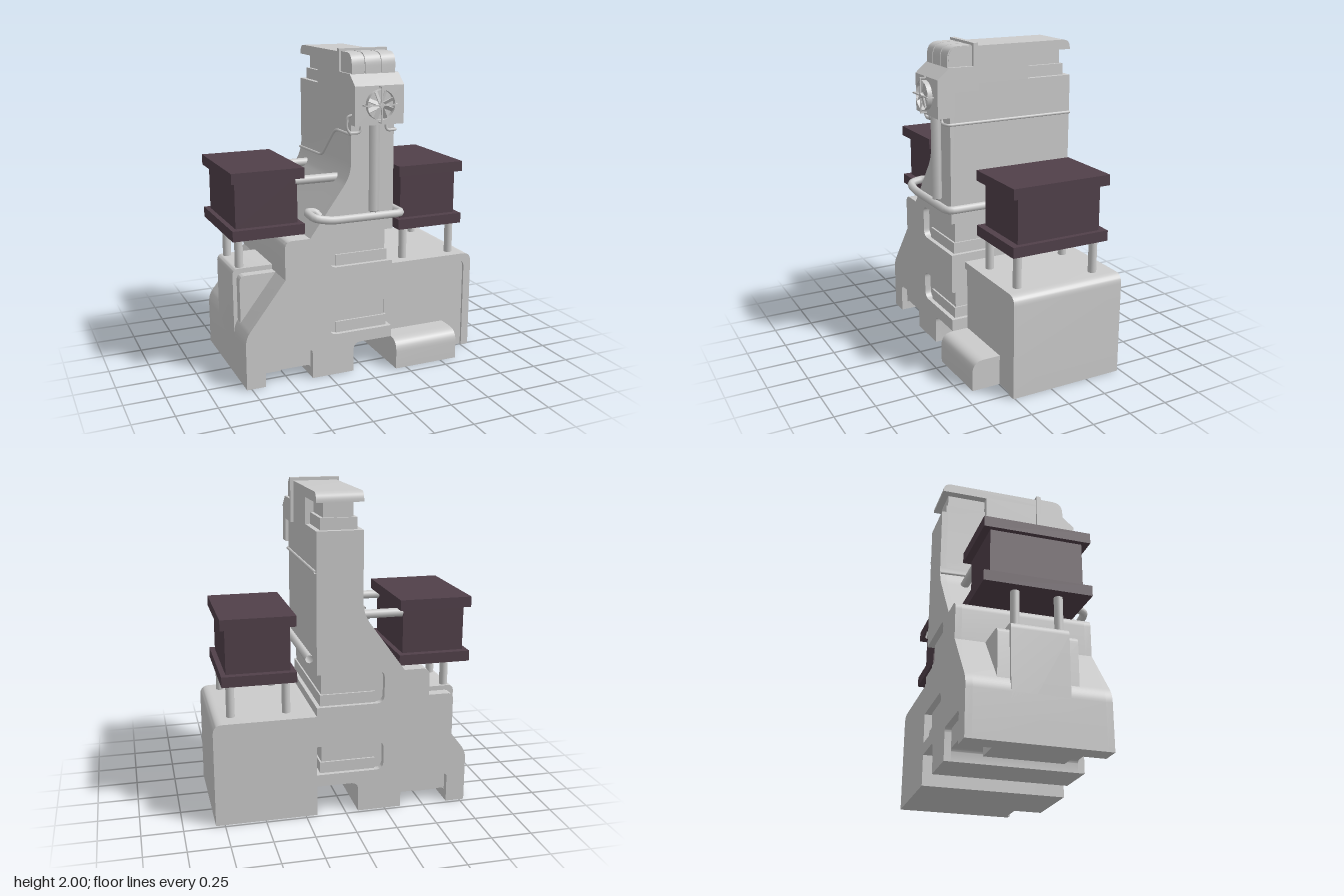
import * as THREE from 'three';
import { toCreasedNormals } from 'three/addons/utils/BufferGeometryUtils.js';

const grey = new THREE.MeshStandardMaterial({ color: 0xcccccc });
const greyOpen = new THREE.MeshStandardMaterial({ color: 0xcccccc, side: THREE.DoubleSide });
const dark = new THREE.MeshStandardMaterial({ color: 0x51404a });

// Closed outline from [x, y, cornerRadius] points
function outline(points) {
  const shape = new THREE.Shape();
  const n = points.length;
  points.forEach(([x, y, r = 0], i) => {
    const p = new THREE.Vector2(x, y);
    const toward = (q) => new THREE.Vector2(q[0], q[1]).sub(p).normalize().multiplyScalar(r).add(p);
    const a = toward(points[(i + n - 1) % n]);
    const b = toward(points[(i + 1) % n]);
    if (i === 0) shape.moveTo(a.x, a.y);
    else shape.lineTo(a.x, a.y);
    if (r > 0) shape.quadraticCurveTo(x, y, b.x, b.y);
  });
  return shape;
}

export function createModel() {
  const model = new THREE.Group();

  const add = (name, geometry, material = grey, parent = model) => {
    const mesh = new THREE.Mesh(geometry, material);
    mesh.name = name;
    parent.add(mesh);
    return mesh;
  };
  const box = (name, x0, x1, y0, y1, z0, z1, material, parent) =>
    add(name, new THREE.BoxGeometry(x1 - x0, y1 - y0, z1 - z0)
      .translate((x0 + x1) / 2, (y0 + y1) / 2, (z0 + z1) / 2), material, parent);
  const extrude = (points, depth) => toCreasedNormals(
    new THREE.ExtrudeGeometry(outline(points), { depth, bevelEnabled: false, curveSegments: 8 }), 0.6);
  // Front outline (x, y) running from z0 to z1
  const slab = (name, points, z0, z1) => add(name, extrude(points, z1 - z0).translate(0, 0, z0));
  // Side outline (z, y) running from x0 to x1
  const sideSlab = (name, points, x0, x1) =>
    add(name, extrude(points, x1 - x0).rotateY(-Math.PI / 2).translate(x1, 0, 0));
  const pipe = (name, points, radius) => {
    const path = new THREE.CurvePath();
    const v = points.map((p) => new THREE.Vector3(...p));
    let from = v[0];
    for (let i = 1; i < v.length - 1; i++) {
      const r = Math.min(0.05, v[i].distanceTo(v[i - 1]) * 0.45, v[i].distanceTo(v[i + 1]) * 0.45);
      const a = v[i - 1].clone().sub(v[i]).setLength(r).add(v[i]);
      const b = v[i + 1].clone().sub(v[i]).setLength(r).add(v[i]);
      path.add(new THREE.LineCurve3(from, a));
      path.add(new THREE.QuadraticBezierCurve3(a, v[i], b));
      from = b;
    }
    path.add(new THREE.LineCurve3(from, v[v.length - 1]));
    add(name, new THREE.TubeGeometry(path, 90, radius, 8), greyOpen);
  };

  // Main body: a core between two skins, whose slots open on the right-hand edge
  const bodyOutline = (notchTop, slot) => [
    [-0.78, 0], [-0.66, 0], [-0.66, notchTop, 0.025], [-0.355, notchTop, 0.025], [-0.355, 0],
    [-0.08, 0], [-0.08, 0.19, 0.05], [0.18, 0.19],
    ...slot(0.265, 0.335, 0.45), ...slot(0.7, 0.77, 0.905),
    [0.18, 1.76], [-0.1, 1.76], [-0.1, 1.265, 0.08], [-0.365, 0.9],
    [-0.525, 0.9, 0.05], [-0.525, 0.66], [-0.78, 0.33, 0.05],
  ];
  const stepSlot = (y0, y1, y2) => [
    [0.18, y0], [0.155, y0], [0.155, y1], [0.145, y1], [0.145, y2], [0.18, y2]];
  const pocketSlot = (y0, y1, y2) => [
    [0.18, y0], [-0.24, y0, 0.05], [-0.24, y2, 0.05], [0.18, y2]];
  slab('bodyCore', bodyOutline(0.075, stepSlot), -0.44, 0.31);
  slab('bodyFrontSkin', bodyOutline(0.19, pocketSlot), 0.31, 0.35);
  slab('bodyBackSkin', bodyOutline(0.19, pocketSlot), -0.48, -0.44);
  for (const [y0, y1] of [[0.265, 0.335], [0.7, 0.77]]) {
    box('frontSlotLedge', -0.19, 0.155, y0, y1, 0.305, 0.322);
    box('backSlotLedge', -0.19, 0.155, y0, y1, -0.452, -0.435);
  }

  // Side block on the sloped flank
  slab('sideBlockInner', [[-0.755, 0], [-0.5, 0], [-0.5, 0.66], [-0.755, 0.66, 0.04]], -0.3, 0.17);
  slab('sideBlockOuter', [[-0.78, 0], [-0.5, 0], [-0.5, 0.69], [-0.78, 0.69, 0.04]], -0.23, 0.11);

  // Large side box with a raised front rim, and its front step
  slab('sideBox', [[0.18, 0], [0.805, 0], [0.805, 0.645, 0.06], [0.18, 0.645]], -0.48, 0.245);
  slab('sideBoxRim', [[0.755, 0], [0.805, 0], [0.805, 0.645, 0.06], [0.18, 0.645],
    [0.18, 0.6], [0.755, 0.6, 0.05]], 0.245, 0.26);
  sideSlab('frontStep', [[0.24, 0], [0.43, 0], [0.43, 0.19, 0.08], [0.24, 0.19]], 0.18, 0.61);

  // Head: hooded top, stepped rear neck, collar, front housing
  sideSlab('headHood', [[-0.18, 1.75], [0.355, 1.75], [0.355, 1.98, 0.07], [-0.475, 1.98, 0.055],
    [-0.475, 1.92], [-0.18, 1.92]], -0.1, 0.18);
  box('rearNeckUpper', -0.05, 0.13, 1.82, 1.925, -0.43, -0.17);
  box('rearNeckLower', -0.07, 0.15, 1.755, 1.83, -0.445, -0.17);
  box('collar', -0.115, 0.2, 1.72, 2, 0.172, 0.203);
  sideSlab('headHousing', [[0.172, 1.72], [0.35, 1.72], [0.35, 1.57], [0.437, 1.57],
    [0.437, 1.8], [0.36, 1.865], [0.172, 1.865]], -0.115, 0.2);
  for (const [x0, x1] of [[-0.103, -0.025], [-0.017, 0.08], [0.088, 0.177]])
    sideSlab('headSegment', [[0.2, 1.86], [0.363, 1.86], [0.363, 1.985, 0.075], [0.2, 1.985]], x0, x1);

  // Fan on the front housing
  const fan = new THREE.Group();
  fan.name = 'fan';
  fan.position.set(0.04, 1.69, 0.437);
  model.add(fan);
  add('fanRing', new THREE.CylinderGeometry(0.088, 0.088, 0.03, 32, 1, true)
    .rotateX(Math.PI / 2).translate(0, 0, 0.015), greyOpen, fan);
  add('fanHub', new THREE.CylinderGeometry(0.015, 0.015, 0.04, 16)
    .rotateX(Math.PI / 2).translate(0, 0, 0.02), grey, fan);
  for (let i = 0; i < 8; i++) {
    const blade = add('fanBlade', new THREE.BoxGeometry(0.075, 0.026, 0.004)
      .rotateX(0.6).translate(0.048, 0, 0.018), grey, fan);
    blade.rotation.z = (i + 0.5) * Math.PI / 4;
  }
  for (let i = 0; i < 4; i++) {
    const guard = new THREE.Group();
    guard.name = 'fanGuardArm';
    guard.rotation.z = i * Math.PI / 2;
    fan.add(guard);
    box('guardBar', 0, 0.108, -0.004, 0.004, 0.034, 0.041, grey, guard);
    box('guardFoot', 0.1, 0.108, -0.004, 0.004, 0, 0.041, grey, guard);
  }

  // Front fin under the head
  add('frontFin', new THREE.CylinderGeometry(0.035, 0.035, 0.53, 4).translate(0.04, 1.305, 0.375));
  add('frontFinTip', new THREE.ConeGeometry(0.035, 0.03, 4).rotateX(Math.PI).translate(0.04, 1.026, 0.375));

  // Waist rail with its curled end, and thin wires
  pipe('waistRail', [[0.225, 1.01, -0.48], [0.225, 1.01, 0.395], [-0.25, 1.01, 0.395],
    [-0.36, 1.035, 0.395], [-0.365, 1.05, 0.29], [-0.3, 1.04, 0.265], [-0.28, 1.01, 0.3]], 0.025);
  pipe('rightWire', [[0.187, 1.525, -0.48], [0.187, 1.525, 0.375], [0.115, 1.525, 0.375],
    [0.115, 1.58, 0.375]], 0.009);
  pipe('leftWire', [[-0.108, 1.3, -0.48], [-0.108, 1.31, -0.09], [-0.108, 1.51, 0.13],
    [-0.108, 1.51, 0.37], [-0.14, 1.55, 0.37], [-0.14, 1.62, 0.38], [-0.11, 1.63, 0.39]], 0.009);
  pipe('frontWire', [[-0.12, 1.52, 0.365], [-0.05, 1.52, 0.375], [-0.05, 1.58, 0.375]], 0.009);

  // Dark crates: a body between two plates
  const crate = (name, x, y, z, length) => {
    const group = new THREE.Group();
    group.name = name;
    group.position.set(x, y, z);
    model.add(group);
    const l = length / 2;
    box('lowerPlate', -0.226, 0.226, 0, 0.065, -l, l, dark, group);
    box('crateBody', -0.195, 0.195, 0.06, 0.35, -l + 0.045, l - 0.045, dark, group);
    box('upperPlate', -0.226, 0.226, 0.345, 0.41, -l, l, dark, group);
  };
  crate('rightCrate', 0.511, 0.85, -0.093, 0.645);
  crate('leftCrate', -0.584, 0.902, -0.075, 0.645);

  // Crate posts and side struts
  const post = (x, z, y0, y1) => add('cratePost',
    new THREE.CylinderGeometry(0.026, 0.026, y1 - y0, 20).translate(x, (y0 + y1) / 2, z));
  for (const x of [0.343, 0.682]) for (const z of [0.172, -0.35]) post(x, z, 0.63, 0.86);
  for (const z of [0.07, -0.19]) post(-0.725, z, 0.67, 0.91);
  for (const z of [0.18, -0.325])
    add('crateStrut', new THREE.CylinderGeometry(0.027, 0.027, 0.29, 20)
      .rotateZ(Math.PI / 2).translate(-0.255, 1.222, z));

  return model;
}
